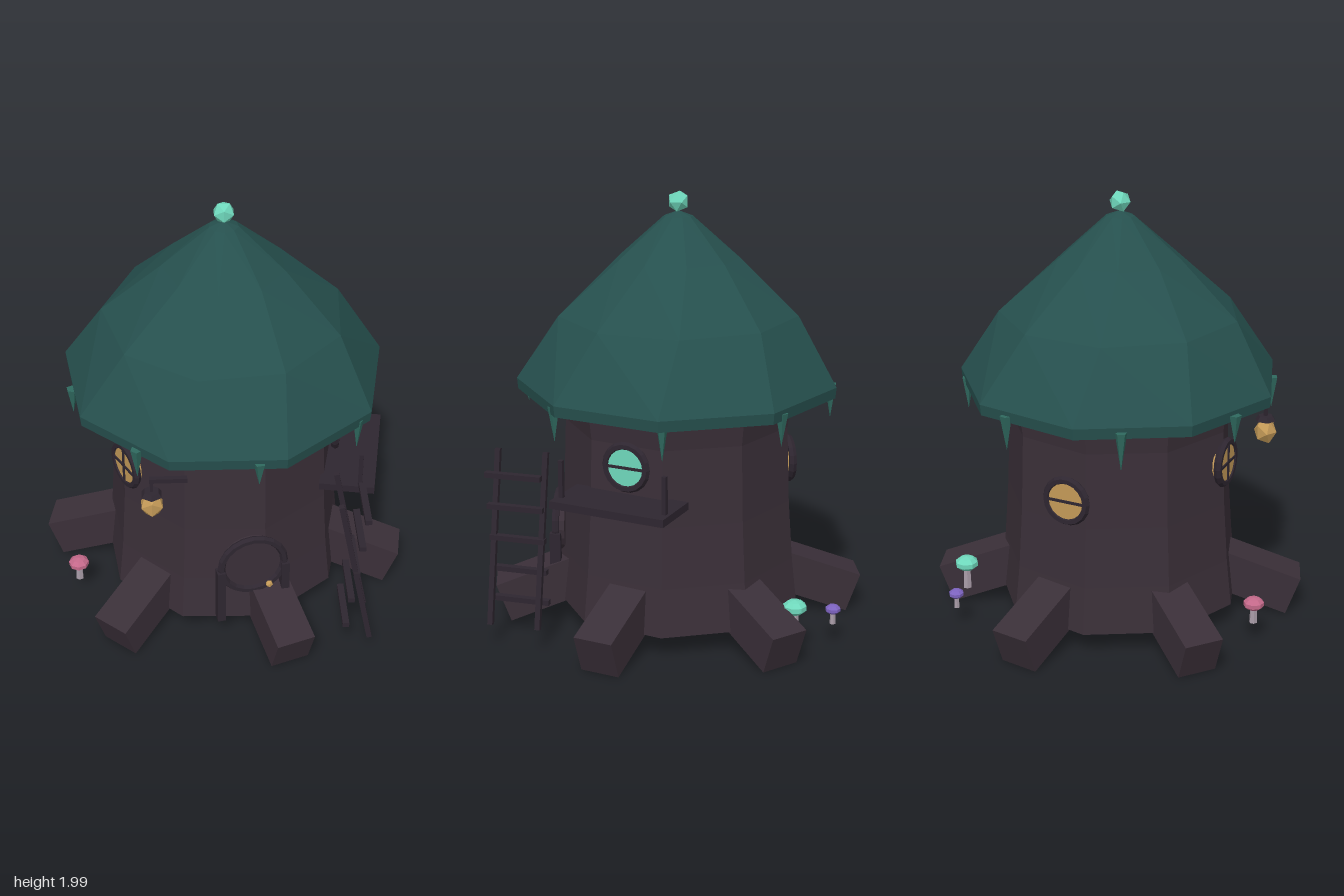
import * as THREE from 'three';

const mat = (name, color, side = THREE.FrontSide) => {
  const m = new THREE.MeshStandardMaterial({ color, flatShading: true, side });
  m.name = name;
  return m;
};
const bark = mat('bark', 0x3a2f38, THREE.DoubleSide);
const darkWood = mat('dark wood', 0x2e2630);
const thatch = mat('thatch green', 0x26504e);
const moss = mat('moss green', 0x2f695f);
const teal = mat('teal glow', 0x6fd8bc);
const amber = mat('amber glow', 0xc49a58);
const pink = mat('pink', 0xc4698a);
const violet = mat('violet', 0x7d63c0);
const stalk = mat('pale stalk', 0xa99ca8);

const rad = THREE.MathUtils.degToRad;

function add(parent, name, geometry, material, x = 0, y = 0, z = 0) {
  const mesh = new THREE.Mesh(geometry, material);
  mesh.name = name;
  mesh.position.set(x, y, z);
  parent.add(mesh);
  return mesh;
}

const box = (w, h, d) => new THREE.BoxGeometry(w, h, d);

// Group whose local +z points outward at an angle measured from +x towards +z
function outward(parent, name, degrees) {
  const g = new THREE.Group();
  g.name = name;
  g.rotation.y = Math.PI / 2 - rad(degrees);
  parent.add(g);
  return g;
}

// Skin between polygon rings [radius, height, twist in degrees]
function loft(rings, sides) {
  const pos = [], index = [];
  rings.forEach(([r, y, twist]) => {
    for (let i = 0; i < sides; i++) {
      const a = rad(twist + (i * 360) / sides);
      pos.push(r * Math.cos(a), y, r * Math.sin(a));
    }
  });
  for (let k = 0; k < rings.length - 1; k++) {
    for (let i = 0; i < sides; i++) {
      const p = k * sides + i, q = k * sides + ((i + 1) % sides);
      index.push(p, p + sides, q + sides, p, q + sides, q);
    }
  }
  const g = new THREE.BufferGeometry();
  g.setAttribute('position', new THREE.Float32BufferAttribute(pos, 3));
  g.setIndex(index);
  g.computeVertexNormals();
  return g;
}

// Round window: frame ring, glass and glazing bars
function roundWindow(parent, degrees, y, glass, crossed) {
  const g = outward(parent, 'roundWindow', degrees);
  add(g, 'windowFrame', new THREE.TorusGeometry(0.097, 0.019, 6, 18), darkWood, 0, y, 0.525);
  const pane = add(g, 'windowGlass', new THREE.CylinderGeometry(0.09, 0.09, 0.04, 18), glass, 0, y, 0.515);
  pane.rotation.x = Math.PI / 2;
  add(g, 'glazingBar', box(0.17, 0.012, 0.008), darkWood, 0, y, 0.537);
  if (crossed) add(g, 'glazingBar', box(0.012, 0.17, 0.008), darkWood, 0, y, 0.537);
}

function mushroom(parent, x, z, capY, r, material) {
  const g = new THREE.Group();
  g.name = 'mushroom';
  g.position.set(x, 0, z);
  parent.add(g);
  const h = capY - 0.1;
  add(g, 'mushroomStem', new THREE.CylinderGeometry(r * 0.3, r * 0.38, h, 6), stalk, 0, 0.1 + h / 2, 0);
  const cap = add(g, 'mushroomCap', new THREE.SphereGeometry(r, 8, 5), material, 0, capY, 0);
  cap.scale.y = 0.62;
}

export function createModel() {
  const model = new THREE.Group();
  model.name = 'stumpHouse';

  // Hollow trunk, open underneath
  add(model, 'trunk', loft([
    [0.575, 0.1, 32], [0.55, 0.32, 32], [0.53, 0.6, 32], [0.517, 0.95, 32], [0.54, 1.14, 32],
  ], 9), bark);

  // Roof with a twisted faceted skin and closed underside
  add(model, 'roof', loft([
    [0, 1.1, 31], [0.73, 1.1, 31], [0.735, 1.15, 31], [0.545, 1.45, 24],
    [0.275, 1.7, 17], [0.065, 1.885, 8], [0, 1.91, 8],
  ], 9), thatch);
  add(model, 'roofFinial', new THREE.IcosahedronGeometry(0.05, 0), teal, 0, 1.95, 0);

  // Moss drips under the eaves
  [0.96, 0.97, 1.01, 0.98, 1.0, 0.955, 0.97, 0.98].forEach((tip, i) => {
    const g = outward(model, 'mossDrip', -10 + i * 45);
    const h = 1.13 - tip;
    const drip = add(g, 'mossDripCone', new THREE.ConeGeometry(0.028, h, 5), moss, 0, tip + h / 2, 0.695);
    drip.rotation.x = Math.PI;
  });

  // Six sloping roots
  for (let i = 0; i < 6; i++) {
    const g = outward(model, 'root', 10 + i * 60);
    add(g, 'rootBeam', box(0.183, 0.19, 0.45), bark, 0, 0.166, 0.611).rotation.x = 0.35;
  }

  // Round door
  const door = outward(model, 'door', 79);
  add(door, 'doorFrame', new THREE.TorusGeometry(0.147, 0.018, 6, 20), darkWood, 0, 0.43, 0.56);
  const leaf = add(door, 'doorLeaf', new THREE.CylinderGeometry(0.14, 0.14, 0.04, 20), bark, 0, 0.43, 0.54);
  leaf.rotation.x = Math.PI / 2;
  for (const s of [-1, 1]) add(door, 'doorPost', box(0.037, 0.29, 0.05), darkWood, s * 0.15, 0.275, 0.56);
  add(door, 'doorKnob', new THREE.IcosahedronGeometry(0.018, 0), amber, 0.075, 0.307, 0.575);

  // Windows
  roundWindow(model, 10, 0.865, teal, false);
  roundWindow(model, 150, 0.8, amber, true);
  roundWindow(model, 242, 0.72, amber, false);

  // Balcony with two rail posts
  const balcony = outward(model, 'balcony', 10);
  add(balcony, 'balconyDeck', box(0.55, 0.035, 0.25), darkWood, 0, 0.713, 0.597);
  for (const s of [-1, 1]) add(balcony, 'balconyPost', box(0.02, 0.18, 0.02), darkWood, s * 0.25, 0.81, 0.655);

  // Ladder
  for (const z of [0.475, 0.7]) {
    add(model, 'ladderRail', box(0.024, 0.8, 0.024), darkWood, 0.556, 0.495, z).rotation.z = 0.2;
  }
  for (let i = -2; i <= 2; i++) {
    add(model, 'ladderRung', box(0.03, 0.024, 0.26), darkWood, 0.56 + i * 0.018, 0.497 + i * 0.153, 0.587);
  }

  // Hanging lantern
  const lantern = new THREE.Group();
  lantern.name = 'lantern';
  lantern.position.set(-0.34, 0, 0.59);
  model.add(lantern);
  add(lantern, 'lanternArm', box(0.165, 0.022, 0.022), darkWood, 0.073, 0.975, 0);
  add(lantern, 'lanternHook', box(0.014, 0.08, 0.014), darkWood, 0, 0.94, 0);
  add(lantern, 'lanternCap', new THREE.CylinderGeometry(0.035, 0.05, 0.022, 6), darkWood, 0, 0.905, 0);
  add(lantern, 'lanternLight', new THREE.IcosahedronGeometry(0.055, 0), amber, 0, 0.84, 0).scale.y = 1.15;

  // Mushrooms
  mushroom(model, -0.7, 0.245, 0.195, 0.049, pink);
  mushroom(model, 0.355, -0.635, 0.225, 0.056, teal);
  mushroom(model, 0.205, -0.78, 0.17, 0.036, violet);

  return model;
}
